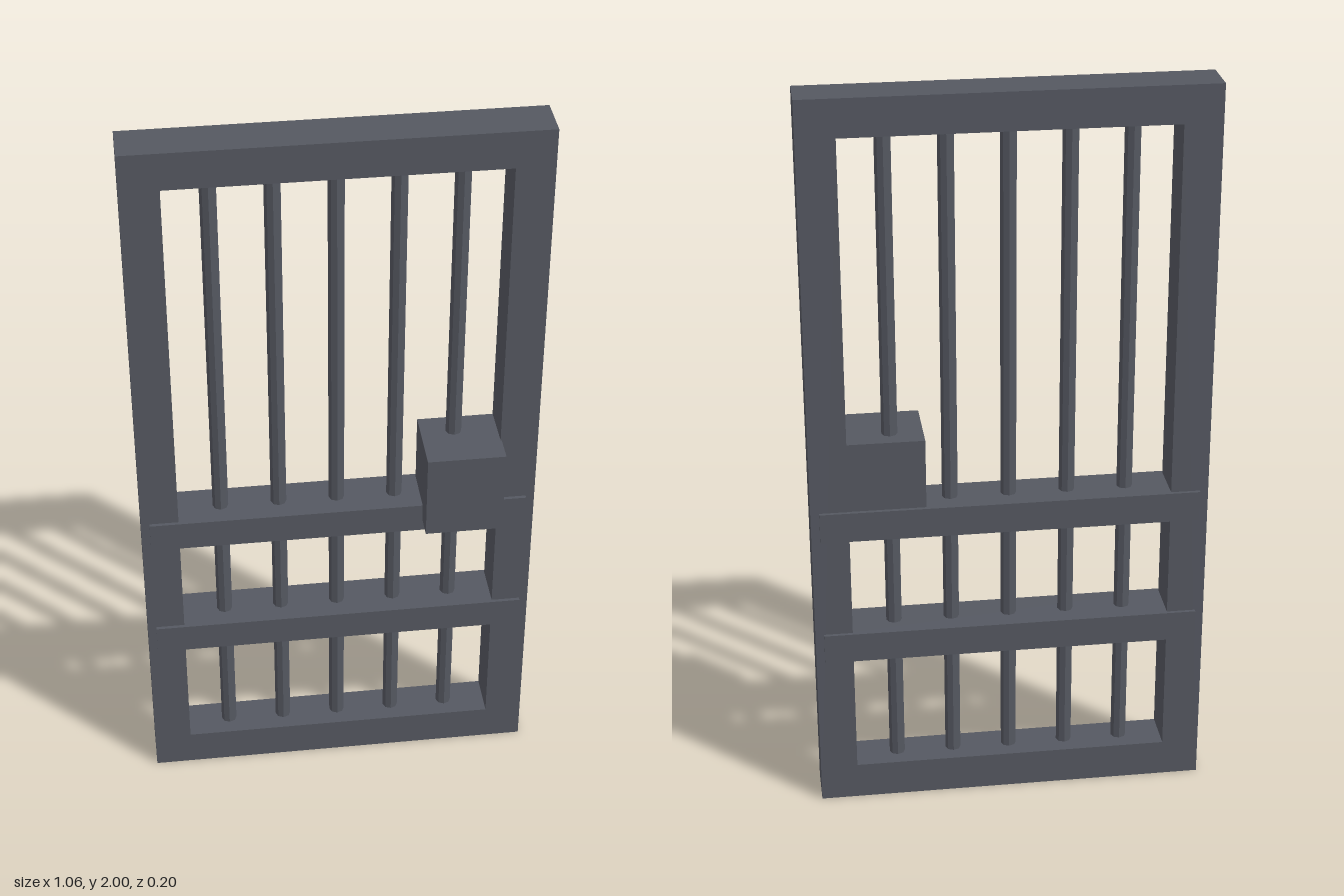
import * as THREE from 'three';

export function createModel() {
  const group = new THREE.Group();
  group.name = 'barredDoor';
  const iron = new THREE.MeshStandardMaterial({ color: 0x555861 });
  iron.name = 'dark iron';
  const midZ = -0.031;

  const add = (name, geometry, x, y, z) => {
    const mesh = new THREE.Mesh(geometry, iron);
    mesh.name = name;
    mesh.position.set(x, y, z);
    group.add(mesh);
  };

  // Rectangular frame with one opening
  const rect = (Type, w, y0, y1) => {
    const p = new Type();
    p.moveTo(-w, y0);
    p.lineTo(w, y0);
    p.lineTo(w, y1);
    p.lineTo(-w, y1);
    p.closePath();
    return p;
  };
  const outline = rect(THREE.Shape, 0.528, 0, 2);
  outline.holes.push(rect(THREE.Path, 0.428, 0.102, 1.9));
  const frame = new THREE.ExtrudeGeometry(outline, { depth: 0.12, bevelEnabled: false });
  add('frame', frame, 0, 0, midZ - 0.06);

  // Upright bars, ends sunk slightly into the frame
  const bar = new THREE.CylinderGeometry(0.021, 0.021, 1.82, 8).toNonIndexed();
  bar.computeVertexNormals();
  for (let i = -2; i <= 2; i++) add('uprightBar', bar, i * 0.156, 1.0, midZ);

  // Flat cross rails, proud of the frame on both faces
  const rail = new THREE.BoxGeometry(1.01, 0.083, 0.139);
  for (const y of [0.482, 0.846]) add('crossRail', rail, 0, y, midZ);

  // Lock box, projecting forward and nearly flush at the back
  add('lockBox', new THREE.BoxGeometry(0.207, 0.24, 0.19), 0.3275, 0.96, 0.005);

  return group;
}
